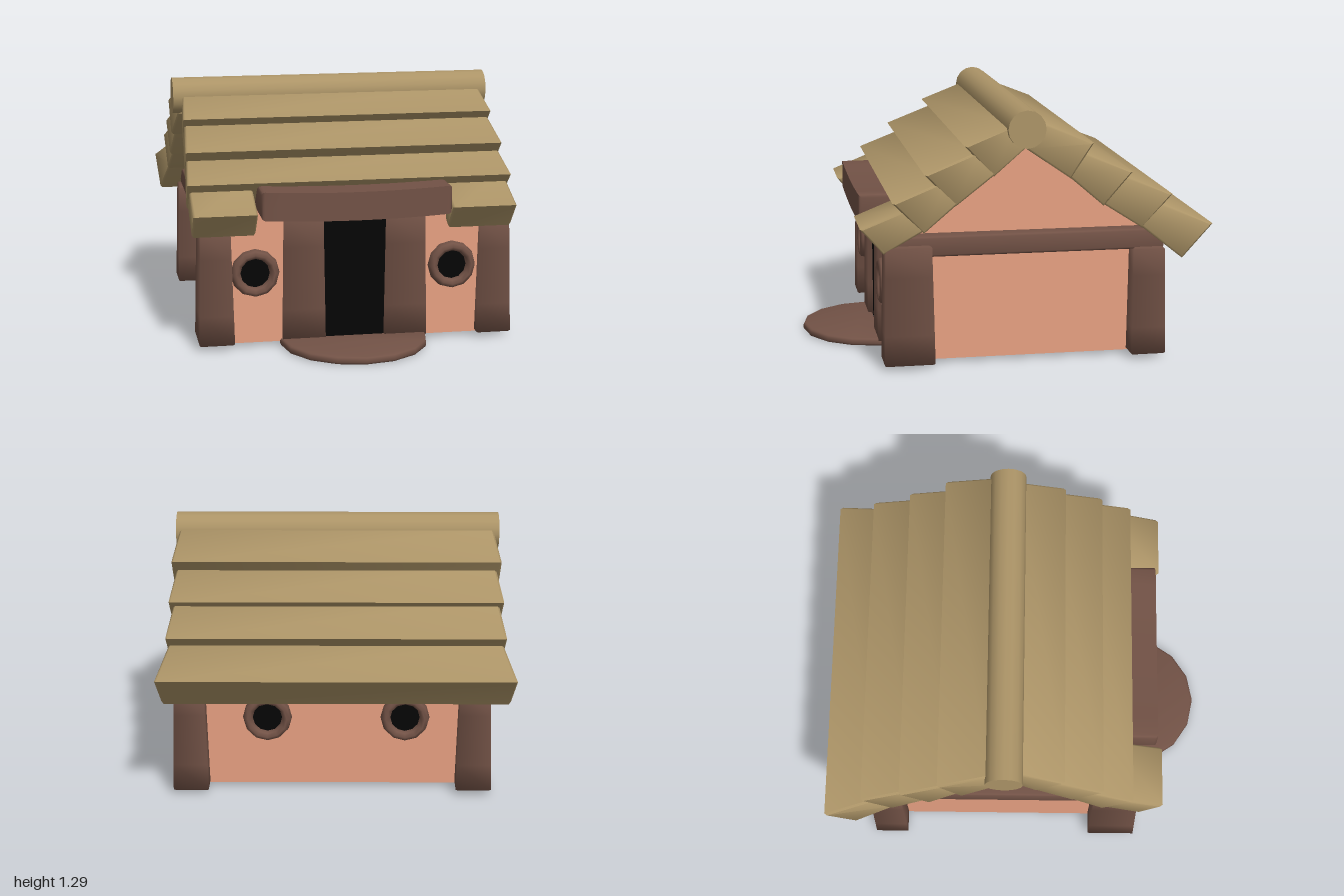
import * as THREE from 'three';
import { toCreasedNormals } from 'three/addons/utils/BufferGeometryUtils.js';

const mat = (color, side = THREE.FrontSide) => new THREE.MeshStandardMaterial({ color, side });

// Move every vertex by a rule, then rebuild normals, smooth below the crease angle
function bend(geometry, rule, crease = 0.9) {
  const p = geometry.attributes.position;
  const v = new THREE.Vector3();
  for (let i = 0; i < p.count; i++) {
    v.fromBufferAttribute(p, i);
    rule(v);
    p.setXYZ(i, v.x, v.y, v.z);
  }
  return toCreasedNormals(geometry, crease);
}

// Upright bevelled block standing on y = 0, centred on x and z
function block(w, h, d, bevel, steps, thickness = bevel) {
  const a = w / 2 - bevel, b = d / 2 - bevel;
  const shape = new THREE.Shape([[-a, -b], [a, -b], [a, b], [-a, b]].map(q => new THREE.Vector2(...q)));
  const g = new THREE.ExtrudeGeometry(shape, {
    depth: h - 2 * thickness, steps, bevelSize: bevel, bevelThickness: thickness, bevelSegments: 2,
  });
  return g.translate(0, 0, thickness).rotateX(-Math.PI / 2);
}

// Roof plank: [z, y] section extruded from x0 to x1, flaring toward the eave
function plank(section, x0, x1, flare) {
  const bevel = 0.01;
  const shape = new THREE.Shape(section.map(([z, y]) => new THREE.Vector2(-z, y)));
  const g = new THREE.ExtrudeGeometry(shape, {
    depth: x1 - x0 - 2 * bevel, bevelSize: bevel, bevelOffset: -bevel, bevelThickness: bevel, bevelSegments: 1,
  });
  g.rotateY(Math.PI / 2).translate(x0 + bevel, 0, 0);
  const zIn = section[0][0], zOut = section[1][0];
  return bend(g, v => {
    const t = THREE.MathUtils.clamp(1.6 * (v.z - zIn) / (zOut - zIn), 0, 1);
    v.x *= 1 + flare * t;
  });
}

export function createModel() {
  const house = new THREE.Group();
  house.name = 'house';
  const wallMat = mat(0xe6a081, THREE.DoubleSide);
  const frameMat = mat(0x725246);
  const roofMat = mat(0xac9467);
  const darkMat = mat(0x050505);
  const add = (name, geometry, material, x = 0, y = 0, z = 0) => {
    const mesh = new THREE.Mesh(geometry, material);
    mesh.name = name;
    mesh.position.set(x, y, z);
    house.add(mesh);
    return mesh;
  };

  // Walls: an open shell with gabled sides
  const zF = 0.6, zB = -0.67, zMid = -0.06, wallX = 0.695;
  const gable = new THREE.ShapeGeometry(new THREE.Shape(
    [[-zF, 0.02], [-zB, 0.02], [-zB, 0.67], [-zMid, 1.11], [-zF, 0.62]].map(q => new THREE.Vector2(...q))));
  gable.rotateY(Math.PI / 2);
  for (const s of [-1, 1]) add('sideWall', gable, wallMat, 0.02 + s * wallX);
  add('frontWall', new THREE.PlaneGeometry(2 * wallX, 0.66), wallMat, 0.02, 0.35, zF);
  add('backWall', new THREE.PlaneGeometry(2 * wallX, 0.65).rotateY(Math.PI), wallMat, 0.02, 0.345, zB);

  // Corner posts and door posts, rounded and spreading toward the foot
  const post = (w, h, d, spread) => bend(block(w, h, d, 0.025, 4, 0.01), v => {
    const t = 1 - v.y / h;
    v.x *= 1 + spread * t;
    v.z *= 1 + spread * t * 0.5;
  }, 1.8);
  const frontPost = post(0.15, 0.61, 0.23, 0.2);
  const backPost = post(0.15, 0.56, 0.16, 0.2);
  const doorPost = post(0.2, 0.67, 0.29, 0.1);
  const sideBeam = toCreasedNormals(block(0.13, 0.105, 1.4, 0.012, 1), 0.9);
  for (const s of [-1, 1]) {
    add('frontCornerPost', frontPost, frameMat, 0.02 + s * 0.72, 0.02, 0.525);
    add('backCornerPost', backPost, frameMat, 0.02 + s * 0.72, 0.02, -0.693);
    add('doorPost', doorPost, frameMat, 0.012 + s * 0.263, 0.02, 0.485);
    add('sideBeam', sideBeam, frameMat, 0.02 + s * 0.71, 0.568, -0.07);
  }

  // Doorway, sagging lintel and half-round doorstep
  add('doorway', new THREE.PlaneGeometry(0.4, 0.66), darkMat, 0.01, 0.35, 0.61);
  const lintel = block(0.145, 0.97, 0.34, 0.018, 10).rotateZ(Math.PI / 2).translate(0.485, 0, 0);
  add('lintel', bend(lintel, v => { v.y -= 0.016 * (1 - (v.x / 0.485) ** 2); }), frameMat, 0.005, 0.761, 0.57);
  const half = new THREE.Shape();
  for (let i = 0; i <= 8; i++) {
    const a = i * Math.PI / 8;
    half[i ? 'lineTo' : 'moveTo'](0.365 * Math.cos(a), -0.365 * Math.sin(a));
  }
  const step = new THREE.ExtrudeGeometry(half, { depth: 0.015, bevelSize: 0.013, bevelThickness: 0.0125, bevelSegments: 2 });
  step.translate(0, 0, 0.0125).rotateX(-Math.PI / 2);
  add('doorstep', toCreasedNormals(step, 0.9), frameMat, 0.005, 0, 0.625);

  // Round windows, front and back
  const ring = new THREE.TorusGeometry(0.099, 0.026, 8, 12);
  ring.scale(1, 1, 1.6);
  const pane = new THREE.CircleGeometry(0.1, 12);
  for (const [x, z, turn] of [[-0.5, zF, 0], [0.52, zF, 0], [-0.35, zB, Math.PI], [0.35, zB, Math.PI]]) {
    const out = turn ? -1 : 1;
    add('windowRing', ring, frameMat, x, 0.39, z + out * 0.01).rotation.y = turn;
    add('windowPane', pane, darkMat, x, 0.39, z + out * 0.015).rotation.y = turn;
  }

  // Roof planks: each row gives outer top [z, y] and outer bottom [z, y]
  const frontRow = [[0.245, 1.12, 0.10, 0.965], [0.445, 0.985, 0.29, 0.825], [0.605, 0.85, 0.45, 0.695], [0.765, 0.725, 0.65, 0.595]];
  const backRow = [[-0.395, 1.125, -0.28, 0.95], [-0.595, 0.975, -0.45, 0.805], [-0.80, 0.855, -0.65, 0.685], [-1.0, 0.705, -0.85, 0.53]];
  for (const [rows, dir] of [[frontRow, 1], [backRow, -1]]) {
    rows.forEach(([zo, yo, zb, yb], k) => {
      // Inner edge is tucked under the row above
      const inner = k ? [rows[k - 1][2] - dir * 0.03, rows[k - 1][3] + 0.027] : [zMid, 1.1];
      const reach = k ? 0.27 : 0.25;
      const section = [[zo - dir * reach, yo + 0.4 * reach], [zo, yo], [zb, yb], inner];
      if (dir > 0 && k === 3) {
        // The lowest front row is split by the lintel
        add('frontEavePlank', plank(section, -0.82, -0.5, 0), roofMat);
        add('frontEavePlank', plank(section, 0.49, 0.82, 0), roofMat);
      } else if (dir > 0) {
        const w = 0.8 + 0.008 * k;
        add('frontRoofPlank', plank(section, -w, w, 0.02), roofMat);
      } else {
        const eave = k === 3;
        const w = eave ? 0.83 : 0.82;
        add('backRoofPlank', plank(section, -w, w, eave ? 0.065 : 0.03), roofMat);
      }
    });
  }

  // Ridge log
  add('ridgeLog', new THREE.CylinderGeometry(0.095, 0.095, 1.69, 16).rotateZ(Math.PI / 2), roofMat, -0.005, 1.2, zMid);

  return house;
}
